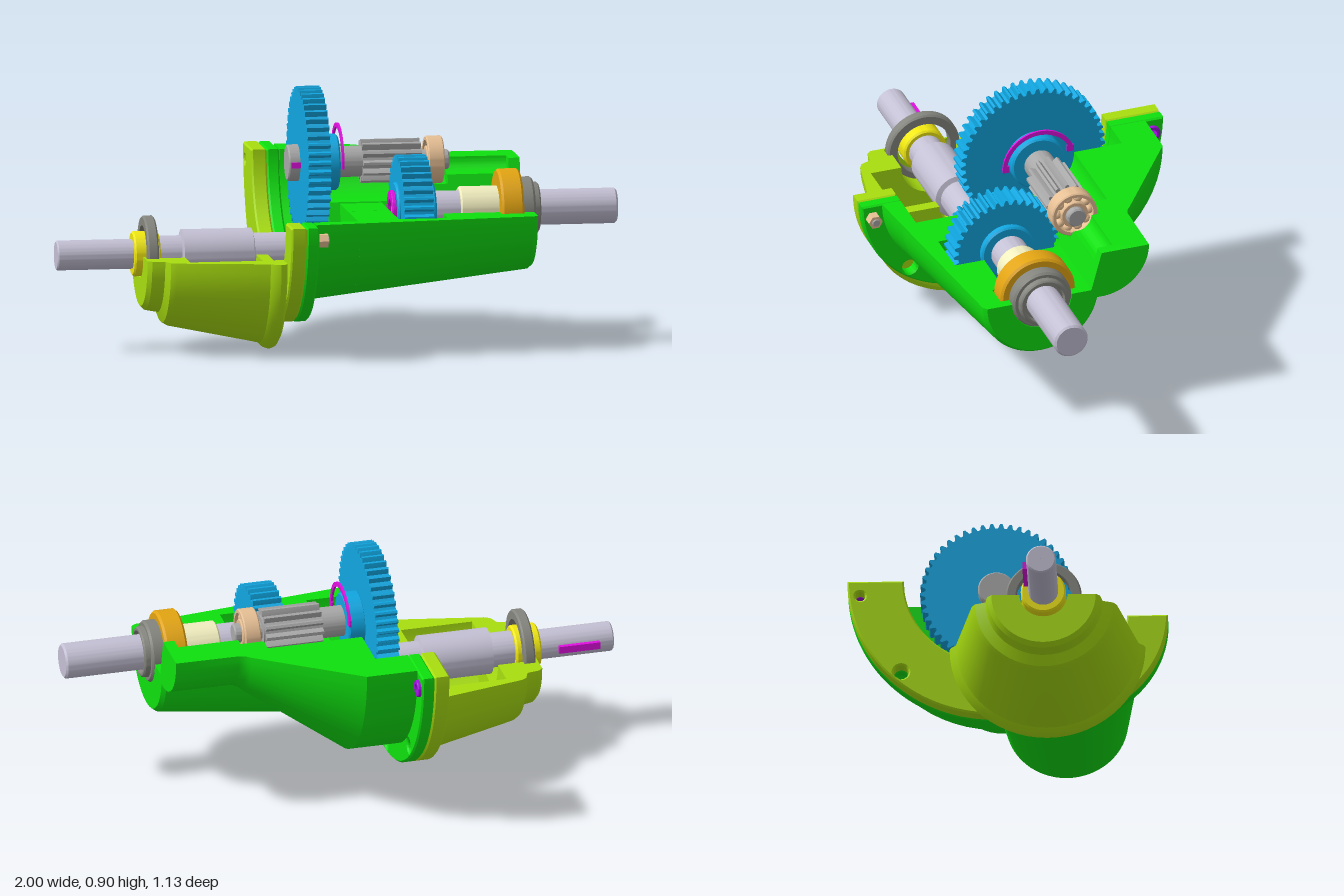
import * as THREE from 'three';
import { toCreasedNormals, mergeGeometries } from 'three/addons/utils/BufferGeometryUtils.js';

const PI = Math.PI;
const COLORS = {
  green: 0x0fe00f, lime: 0xa8de10, blue: 0x10a6e0, steel: 0xc4c0d4, grey: 0x85857f, silver: 0xa8a8a8,
  orange: 0xe2a412, cream: 0xf0edbe, tan: 0xe6bf94, magenta: 0xe010e0, purple: 0xa010e0, yellow: 0xf0e812,
};
const mats = {};
for (const k in COLORS) mats[k] = new THREE.MeshStandardMaterial({ color: COLORS[k], side: THREE.DoubleSide });

// The three shaft axes run along x at these [y, z] positions
const INPUT = [0.35, 0.14], COUNTER = [0.635, -0.045], OUTPUT = [0.49, 0.18];

export function createModel() {
  const root = new THREE.Group();
  root.name = 'gearboxCutaway';

  function add(name, color, geo, x = 0, y = 0, z = 0) {
    const m = new THREE.Mesh(geo, mats[color]);
    m.name = name;
    m.position.set(x, y, z);
    root.add(m);
    return m;
  }

  // Closed [x, r] profile swept about a shaft axis; angle 0 is +z, 90 is down, 180 is -z
  function revolve(name, color, axis, profile, from = 0, to = 360) {
    const pts = [...profile, profile[0]].map(([x, r]) => new THREE.Vector2(Math.max(r, 0.0005), x));
    const a = THREE.MathUtils.degToRad(from), b = THREE.MathUtils.degToRad(to);
    const seg = Math.max(12, Math.round((to - from) / 6));
    const parts = [new THREE.LatheGeometry(pts, seg, a, b - a).rotateZ(-PI / 2)];
    if (to - from < 360) {
      const shape = new THREE.Shape(profile.map(([x, r]) => new THREE.Vector2(x, r)));
      for (const t of [a, b]) parts.push(new THREE.ShapeGeometry(shape).rotateX(t + PI / 2));
    }
    const geo = toCreasedNormals(mergeGeometries(parts.map((g) => g.toNonIndexed())), 0.5);
    return add(name, color, geo, 0, axis[0], axis[1]);
  }

  const ring = (name, color, axis, x0, x1, r, hole = 0, bevel = 0.006) => revolve(name, color, axis, [
    [x0, hole], [x0, r - bevel], [x0 + bevel, r], [x1 - bevel, r], [x1, r - bevel], [x1, hole]]);

  // Shape drawn in (-z, y), pushed along x from x0 to x1
  function slab(shape, x0, x1, bevel = 0) {
    const geo = new THREE.ExtrudeGeometry(shape, {
      depth: x1 - x0 - 2 * bevel, bevelEnabled: bevel > 0, bevelSize: bevel, bevelThickness: bevel,
      bevelOffset: -bevel, bevelSegments: 1, curveSegments: 32,
    });
    return toCreasedNormals(geo.rotateY(PI / 2).translate(x0 + bevel, 0, 0), 0.5);
  }

  function gear(name, color, axis, x0, x1, r, teeth, depth) {
    const pts = [];
    for (let i = 0; i < teeth; i++) {
      for (const [f, d] of [[-0.34, depth], [-0.23, depth * 0.45], [-0.12, 0], [0.12, 0], [0.23, depth * 0.45], [0.34, depth]]) {
        const a = (i + f) / teeth * 2 * PI;
        pts.push(new THREE.Vector2(Math.cos(a) * (r - d), Math.sin(a) * (r - d)));
      }
    }
    add(name, color, slab(new THREE.Shape(pts), x0, x1), 0, axis[0], axis[1]);
  }

  // Green housing: tapered shell round the output shaft
  revolve('outputHousingMouth', 'green', OUTPUT, [[-0.12, 0.31], [0.04, 0.291], [0.04, 0.24], [-0.12, 0.24]], 0, 130);
  revolve('outputHousing', 'green', OUTPUT, [
    [0.04, 0.291], [0.675, 0.217], [0.69, 0.205], [0.69, 0.112], [0.655, 0.112], [0.655, 0.143], [0.57, 0.143],
    [0.57, 0.1], [0.365, 0.1], [0.365, 0.21], [0.19, 0.21], [0.19, 0.001], [0.04, 0.001]], 0, 180);
  // Green housing: stepped shell round the countershaft
  revolve('counterHousing', 'green', COUNTER, [
    [-0.12, 0.455], [0.065, 0.455], [0.42, 0.203], [0.435, 0.19], [0.46, 0.18], [0.69, 0.178], [0.69, 0.001],
    [0.65, 0.001], [0.65, 0.055], [0.43, 0.055], [0.43, 0.088], [0.345, 0.088], [0.345, 0.145],
    [0, 0.145], [0, 0.325], [-0.12, 0.325]], 75, 180);

  // Paired flanges with bolt holes
  function flange(name, color, x0, x1, holes) {
    const s = new THREE.Shape();
    s.moveTo(-0.565, 0.49);
    s.absarc(-0.18, 0.49, 0.385, PI, 1.5 * PI, false);
    s.absarc(0.045, 0.635, 0.525, 1.5 * PI, 2 * PI, false);
    s.absarc(0.045, 0.635, 0.325, 2 * PI, 4.527, true);
    s.absarc(-0.18, 0.49, 0.24, 5.47, PI, true);
    for (const [z, y, r] of holes) s.holes.push(new THREE.Path().absarc(-z, y, r, 0, 2 * PI, true));
    add(name, color, slab(s, x0, x1, 0.006));
  }
  const through = [[-0.38, 0.28, 0.027], [-0.525, 0.578, 0.018]];
  const blind = [[0.385, 0.21, 0.027], [0.13, 0.15, 0.027], [-0.075, 0.15, 0.027]];
  flange('greenFlange', 'green', -0.165, -0.12, [...through, ...blind]);
  flange('limeFlange', 'lime', -0.22, -0.165, through);
  ring('flangeBushing', 'purple', [0.578, -0.525], -0.17, -0.108, 0.031, 0.017, 0.003);
  ring('dowelPin', 'tan', [0.155, 0.05], -0.18, -0.114, 0.013, 0, 0.002);
  const bolt = new THREE.CylinderGeometry(0.026, 0.026, 0.035, 6).rotateZ(PI / 2);
  add('boltHead', 'tan', toCreasedNormals(bolt, 0.5), -0.103, 0.44, 0.525);
  ring('boltTip', 'silver', [0.44, 0.525], -0.09, -0.08, 0.014, 0, 0.002);

  // Lime input cover: half shell with bearing seats and a rounded rim
  revolve('inputCover', 'lime', INPUT, [
    [-0.7, 0.085], [-0.7, 0.185], [-0.685, 0.2], [-0.64, 0.208], [-0.625, 0.245], [-0.605, 0.257],
    [-0.3, 0.32], [-0.28, 0.325], [-0.265, 0.34], [-0.245, 0.347], [-0.228, 0.34], [-0.218, 0.322],
    [-0.218, 0.23], [-0.255, 0.23], [-0.255, 0.085], [-0.295, 0.085], [-0.295, 0.235], [-0.555, 0.235],
    [-0.555, 0.12], [-0.648, 0.12], [-0.648, 0.137], [-0.692, 0.137], [-0.692, 0.085]], 0, 180);

  // Input shaft with key, seal, bearing and pinion
  revolve('inputShaft', 'steel', INPUT, [
    [-1, 0], [-1, 0.048], [-0.995, 0.053], [-0.65, 0.053], [-0.65, 0.062], [-0.555, 0.062], [-0.55, 0.083],
    [-0.3, 0.083], [-0.295, 0.065], [-0.14, 0.065], [-0.14, 0]]);
  add('inputKey', 'magenta', new THREE.BoxGeometry(0.15, 0.026, 0.03), -0.87, INPUT[0], INPUT[1] - 0.052);
  ring('inputSeal', 'yellow', INPUT, -0.728, -0.635, 0.08, 0.052);
  ring('inputBearing', 'grey', INPUT, -0.69, -0.65, 0.135, 0.1);
  gear('inputPinion', 'blue', INPUT, -0.145, 0.035, 0.081, 16, 0.018);

  // Countershaft with wheel, pinion and clip
  revolve('countershaft', 'silver', COUNTER, [
    [-0.145, 0], [-0.145, 0.06], [-0.14, 0.065], [-0.1, 0.065], [-0.1, 0.055], [0.335, 0.055], [0.335, 0.035],
    [0.43, 0.035], [0.435, 0.03], [0.435, 0]]);
  gear('counterWheel', 'blue', COUNTER, -0.105, -0.025, 0.271, 50, 0.018);
  ring('counterWheelHub', 'blue', COUNTER, -0.03, 0.035, 0.1, 0.05);
  gear('counterPinion', 'silver', COUNTER, 0.12, 0.33, 0.078, 12, 0.021);
  add('counterKey', 'magenta', new THREE.BoxGeometry(0.035, 0.02, 0.02), -0.12, COUNTER[0], COUNTER[1] + 0.062);
  const clip = new THREE.Shape();
  clip.absarc(0, 0, 0.138, 0.34, PI, false);
  clip.absarc(0, 0, 0.122, PI, 0.34, true);
  add('retainingClip', 'magenta', slab(clip, 0.034, 0.042), 0, COUNTER[0], COUNTER[1]);
  for (const a of [0.38, PI - 0.03]) {
    add('clipEar', 'magenta', new THREE.BoxGeometry(0.008, 0.025, 0.025), 0.038,
      COUNTER[0] + Math.sin(a) * 0.125, COUNTER[1] - Math.cos(a) * 0.125);
  }

  // Countershaft ball bearing
  ring('bearingOuterRace', 'tan', COUNTER, 0.352, 0.41, 0.085, 0.07, 0.004);
  ring('bearingInnerRace', 'tan', COUNTER, 0.352, 0.41, 0.05, 0.034, 0.003);
  for (let i = 0; i < 10; i++) {
    const a = i / 10 * 2 * PI;
    add('bearingBall', 'tan', new THREE.SphereGeometry(0.017, 12, 8), 0.385,
      COUNTER[0] + Math.sin(a) * 0.06, COUNTER[1] + Math.cos(a) * 0.06);
  }

  // Output shaft with gear, spacer, bearing and seal
  revolve('outputShaft', 'steel', OUTPUT, [
    [0.2, 0], [0.2, 0.055], [0.33, 0.055], [0.33, 0.066], [0.435, 0.066], [0.435, 0.063], [0.993, 0.063],
    [1, 0.056], [1, 0]]);
  gear('outputGear', 'blue', OUTPUT, 0.215, 0.32, 0.197, 36, 0.018);
  ring('outputGearHub', 'blue', OUTPUT, 0.205, 0.345, 0.1, 0.05);
  ring('outputClip', 'magenta', OUTPUT, 0.19, 0.205, 0.072, 0.04, 0.002);
  ring('outputSpacer', 'cream', OUTPUT, 0.435, 0.58, 0.08, 0.06);
  ring('outputBearing', 'orange', OUTPUT, 0.572, 0.652, 0.14, 0.07, 0.008);
  revolve('outputSeal', 'grey', OUTPUT, [
    [0.65, 0.063], [0.65, 0.11], [0.69, 0.11], [0.698, 0.103], [0.698, 0.092], [0.715, 0.09], [0.72, 0.085],
    [0.72, 0.077], [0.705, 0.073], [0.705, 0.063]]);

  return root;
}
